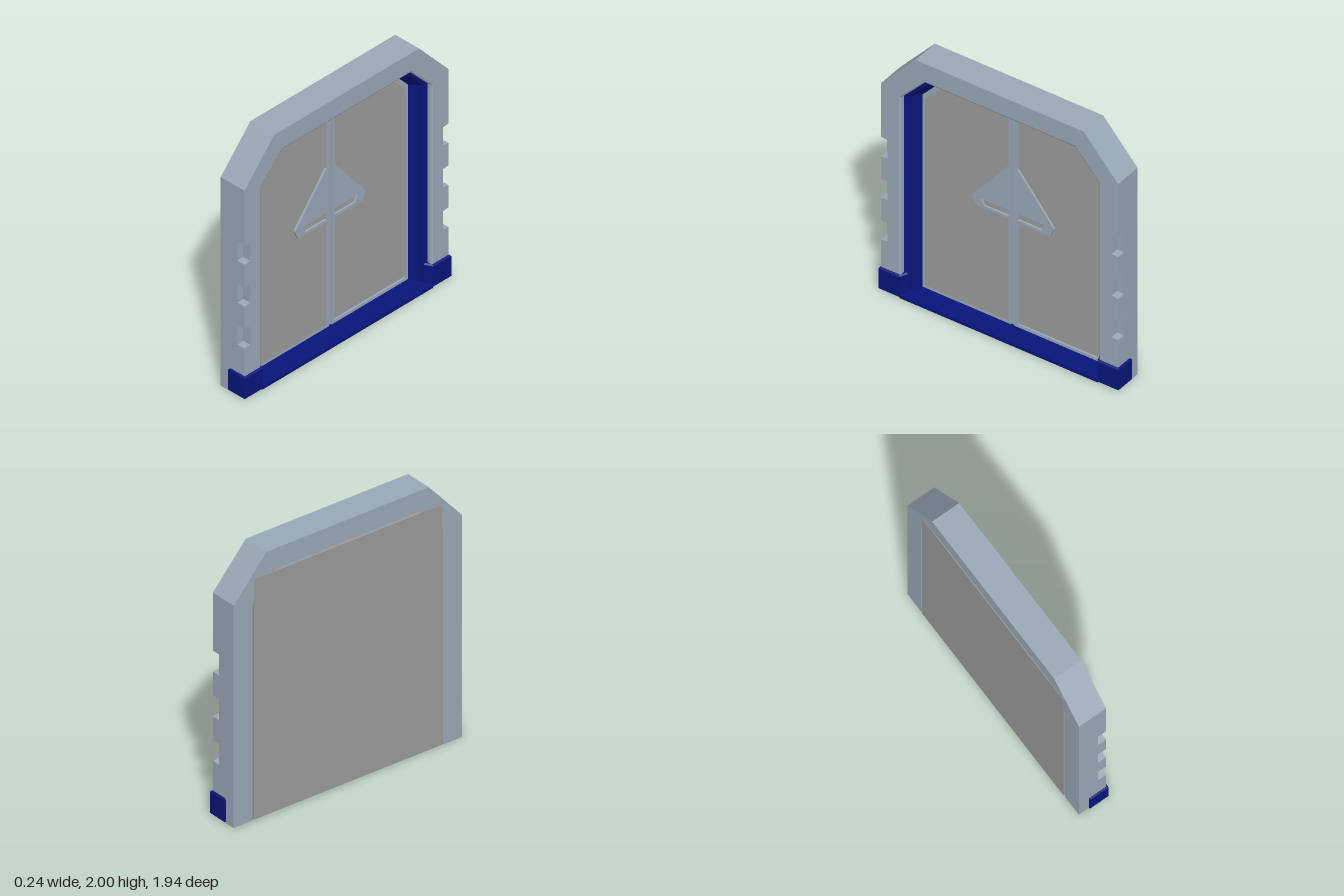
import * as THREE from 'three';

const mat = (color, side = THREE.FrontSide) =>
  new THREE.MeshStandardMaterial({ color, side, flatShading: true });
const frameMat = mat(0x99a8b7);
const frameThin = mat(0x99a8b7, THREE.DoubleSide);
const blueMat = mat(0x08157a);
const blueThin = mat(0x08157a, THREE.DoubleSide);
const greyMat = mat(0x9b9b9b);

const toPoints = (list) => list.map(([u, v]) => new THREE.Vector2(u, v));
const mirrored = (half) => [...half, ...half.map(([u, v]) => [-u, v]).reverse()];

// Doorway outline, moved inwards by d
const opening = (d) => mirrored([
  [0.8 - d, 0], [0.8 - d, 1.635 - 0.41 * d], [0.605 - 0.41 * d, 1.842 - d]]);

// Flat outline in the door plane, given thickness from x0 to x1
function slab(name, outline, x0, x1, material, hole) {
  const shape = new THREE.Shape(toPoints(outline));
  if (hole) shape.holes.push(new THREE.Path(toPoints(hole)));
  const geo = new THREE.ExtrudeGeometry(shape, { depth: x1 - x0, bevelEnabled: false });
  geo.rotateY(Math.PI / 2).translate(x0, 0, 0);
  const mesh = new THREE.Mesh(geo, material);
  mesh.name = name;
  return mesh;
}

// Strip following the doorway, profile given as [inset, x]
function trim(name, profile, material) {
  const pos = [], index = [];
  const n = 6;
  for (const [d, x] of profile) for (const [u, y] of opening(d)) pos.push(x, y, -u);
  for (let r = 0; r < profile.length - 1; r++) {
    for (let i = 0; i < n - 1; i++) {
      const a = r * n + i, b = a + n;
      index.push(a, a + 1, b, b, a + 1, b + 1);
    }
  }
  let geo = new THREE.BufferGeometry();
  geo.setAttribute('position', new THREE.Float32BufferAttribute(pos, 3));
  geo.setIndex(index);
  geo = geo.toNonIndexed();
  geo.computeVertexNormals();
  const mesh = new THREE.Mesh(geo, material);
  mesh.name = name;
  return mesh;
}

function box(name, x0, x1, y0, y1, z0, z1, material) {
  const mesh = new THREE.Mesh(new THREE.BoxGeometry(x1 - x0, y1 - y0, z1 - z0), material);
  mesh.position.set((x0 + x1) / 2, (y0 + y1) / 2, (z0 + z1) / 2);
  mesh.name = name;
  return mesh;
}

export function createModel() {
  const group = new THREE.Group();

  // Frame: plain rear layer, front layer with notches in the outer edges
  const corner = [[0.957, 1.69], [0.68, 2]];
  const plain = mirrored([[0.957, 0], ...corner]);
  const notches = [];
  for (const y of [0.41, 0.75, 1.09]) {
    notches.push([0.957, y], [0.905, y + 0.005], [0.905, y + 0.155], [0.957, y + 0.16]);
  }
  const notched = mirrored([[0.957, 0], ...notches, ...corner]);
  const arch = (outer, d) => [...outer, ...opening(d).reverse()];
  group.add(slab('frameRear', arch(plain, 0), -0.115, 0.04, frameMat));
  group.add(slab('frameFront', arch(notched, -0.012), 0.04, 0.105, frameMat));
  group.add(trim('frameInnerEdge', [[-0.012, 0.105], [-0.003, 0.1], [0, 0.09], [0, 0.04]], frameThin));

  // Blue lining, sill and feet
  group.add(trim('doorwayLining',
    [[0, 0.064], [0.028, 0.052], [0.04, 0.01], [0.07, -0.035], [0.07, -0.07]], blueThin));
  group.add(box('sill', -0.06, 0.117, 0.004, 0.03, -0.8, 0.8, blueMat));
  for (const side of [1, -1]) {
    const plan = [[0.118, 0.969], [0.118, 0.8], [0.06, 0.772], [-0.035, 0.772], [-0.035, 0.969]];
    // Plan is drawn as (x, -z) so that extrusion runs upwards
    const shape = new THREE.Shape(toPoints(plan.map(([x, z]) => [x, -side * z])));
    const geo = new THREE.ExtrudeGeometry(shape, {
      depth: 0.162, bevelThickness: 0.01, bevelSize: 0.01, bevelOffset: -0.01, bevelSegments: 1 });
    geo.rotateX(-Math.PI / 2).translate(0, 0.014, 0);
    const foot = new THREE.Mesh(geo, blueMat);
    foot.name = side > 0 ? 'footLeft' : 'footRight';
    group.add(foot);
  }

  // Door slab, closing the back of the doorway
  group.add(box('doorPanel', -0.118, -0.06, 0.004, 1.83, -0.788, 0.788, greyMat));

  // Raised rims and handle plates on both leaves
  for (const s of [1, -1]) {
    const flip = (list) => list.map(([u, v]) => [s * u, v]);
    const rim = [[0.014, 0.03], [0.73, 0.03], [0.73, 1.606], [0.576, 1.771], [0.014, 1.771]];
    const inner = [[0.037, 0.052], [0.708, 0.052], [0.708, 1.575], [0.552, 1.745], [0.037, 1.745]];
    group.add(slab('leafRim', flip(rim), -0.062, -0.045, frameMat, flip(inner)));
    // Plate is open towards the rim where the slot runs in
    const plate = [[0.037, 0.885], [0.3, 0.885], [0.332, 0.957], [0.037, 1.32],
      [0.037, 0.957], [0.258, 0.957], [0.232, 0.907], [0.037, 0.907]];
    group.add(slab('handlePlate', flip(plate), -0.062, -0.045, frameMat));
  }
  group.add(box('centreSeam', -0.062, -0.053, 0.03, 1.765, -0.009, 0.009, frameMat));

  return group;
}
